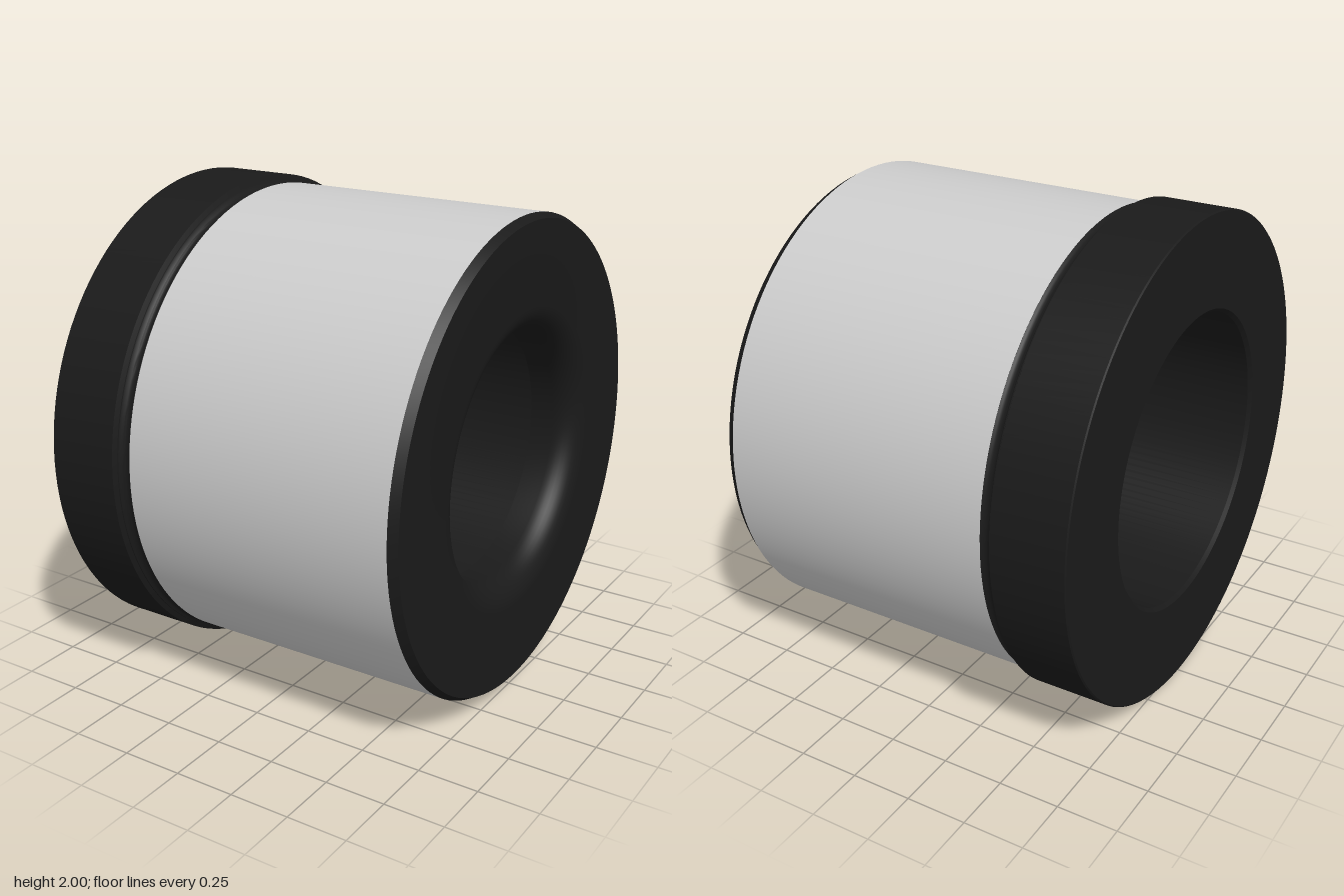
import * as THREE from 'three';
import { toCreasedNormals } from 'three/addons/utils/BufferGeometryUtils.js';

const SEGMENTS = 128;

// Revolve [x, radius] points around the x axis, keeping sharp edges crisp
function turned(name, profile, color) {
  const points = profile.map(([x, r]) => new THREE.Vector2(r, x));
  let geometry = new THREE.LatheGeometry(points, SEGMENTS);
  geometry.rotateZ(-Math.PI / 2);
  geometry = toCreasedNormals(geometry, 0.4);
  const mesh = new THREE.Mesh(geometry, new THREE.MeshStandardMaterial({ color }));
  mesh.name = name;
  mesh.position.y = 1;
  return mesh;
}

// Circular arc as [x, radius] points
function arc(cx, cr, radius, from, to, steps = 10) {
  return Array.from({ length: steps + 1 }, (_, i) => {
    const a = from + ((to - from) * i) / steps;
    return [cx + radius * Math.cos(a), cr + radius * Math.sin(a)];
  });
}

export function createModel() {
  const group = new THREE.Group();
  group.name = 'flangedBushing';

  // Ground outer surface
  group.add(turned('sleeve', [[-0.405, 0.97], [0.735, 0.97]], 0xcccccc));

  // Dark body: chamfer, end face, flared mouth, bore, flange and relief groove
  group.add(turned('body', [
    [0.735, 0.97],
    [0.77, 0.95],
    ...arc(0.66, 0.62, 0.11, 0, -Math.PI / 2),
    [0.56, 0.51],
    [0.53, 0.6],
    [-0.755, 0.6],
    [-0.77, 0.615],
    [-0.77, 0.995],
    [-0.765, 1],
    [-0.465, 1],
    [-0.455, 0.982],
    ...arc(-0.425, 0.99, 0.027, Math.PI * 1.1, Math.PI * 1.75, 6),
    [-0.405, 0.97],
  ].map((p, i, all) => p), 0x1a1a1a));

  return group;
}
